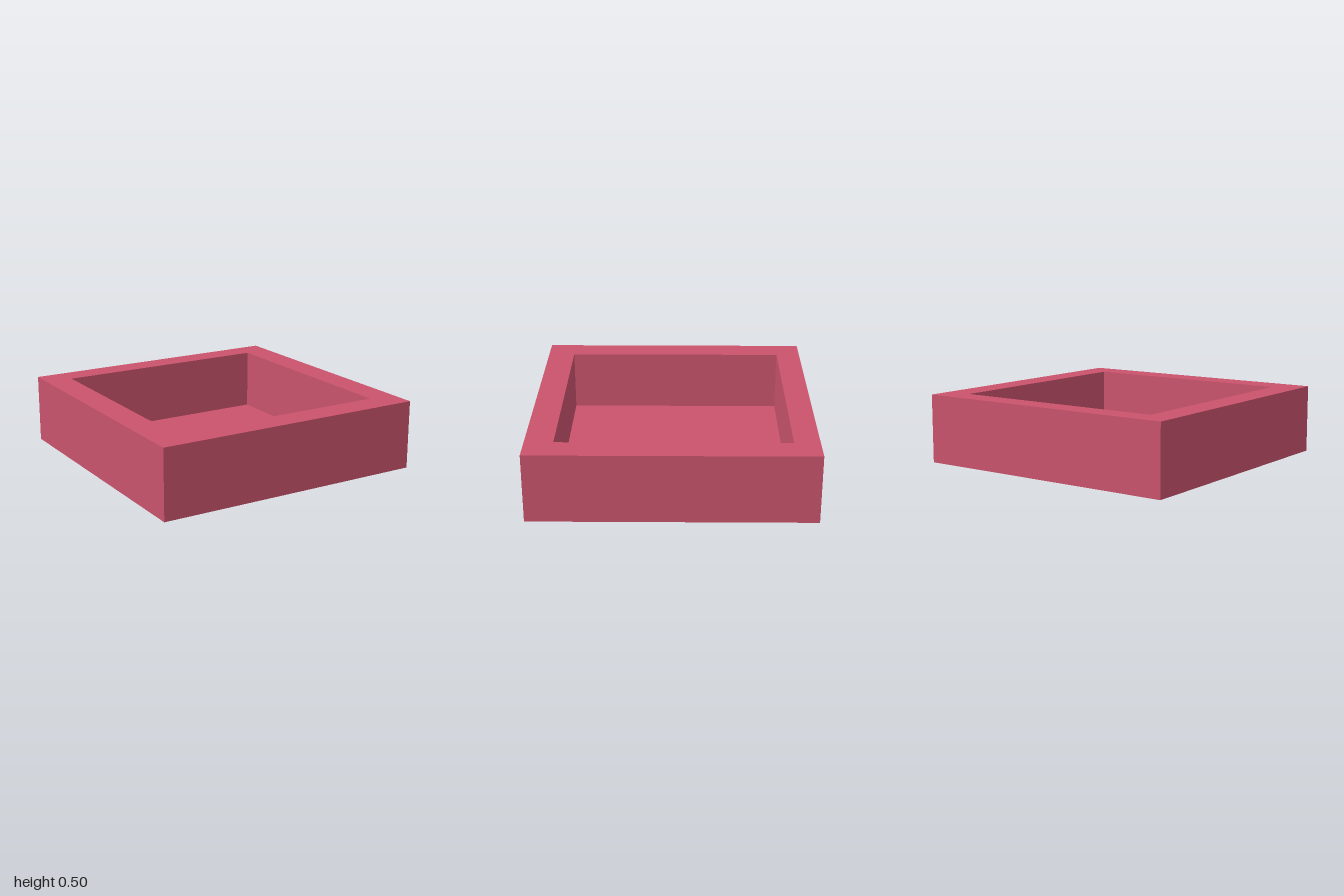
import * as THREE from 'three';

// Four corners of a level rectangle, counter-clockwise seen from above
const ring = (x, back, front, y) => [
  [-x, y, front], [x, y, front], [x, y, back], [-x, y, back],
];

// Joins successive rings with flat quads and caps both ends
function ringSolid(rings) {
  const points = [];
  const quad = (a, b, c, d) => points.push(...a, ...b, ...c, ...a, ...c, ...d);
  for (let r = 0; r < rings.length - 1; r++) {
    for (let i = 0; i < 4; i++) {
      const j = (i + 1) % 4;
      quad(rings[r][i], rings[r][j], rings[r + 1][j], rings[r + 1][i]);
    }
  }
  quad(...[...rings[0]].reverse());
  quad(...rings[rings.length - 1]);
  const geometry = new THREE.BufferGeometry();
  geometry.setAttribute('position', new THREE.Float32BufferAttribute(points, 3));
  geometry.computeVertexNormals();
  return geometry;
}

export function createModel() {
  const group = new THREE.Group();
  group.name = 'openTray';

  // Thick-walled tray: outer wall, rim, inner wall, thin floor
  const height = 0.5, floor = 0.05;
  const tray = new THREE.Mesh(
    ringSolid([
      ring(1, -1, 1, 0),
      ring(1, -1, 1, height),
      ring(0.8, -0.82, 0.8, height),
      ring(0.8, -0.82, 0.8, floor),
    ]),
    new THREE.MeshStandardMaterial({ color: 0xc9536c }),
  );
  tray.name = 'tray';
  group.add(tray);
  return group;
}
